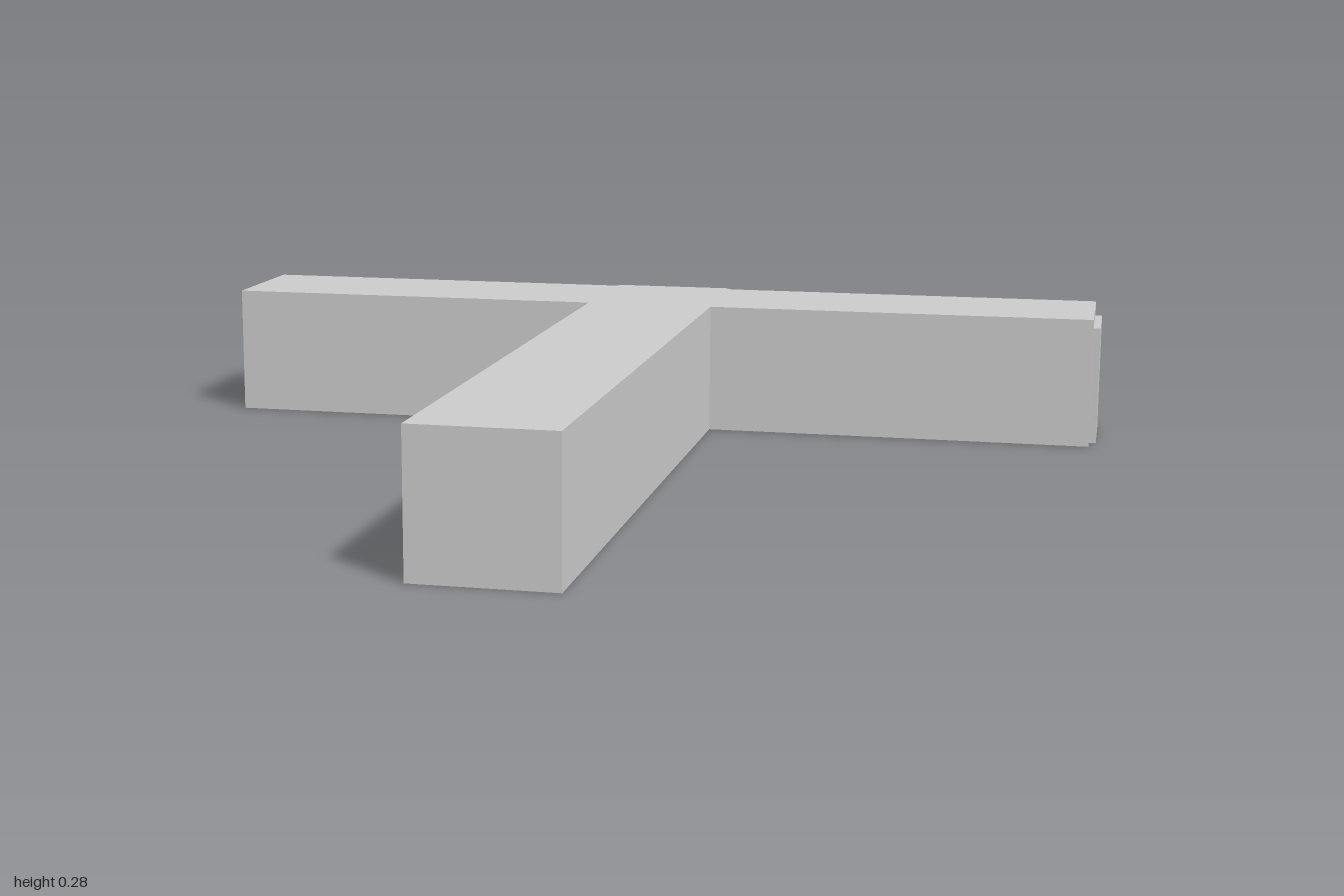
import * as THREE from 'three';

const material = new THREE.MeshStandardMaterial({ color: 0xcccccc, flatShading: true });
const HEIGHT = 0.28;

function addPart(group, name, geometry, x = 0, y = 0, z = 0) {
  const mesh = new THREE.Mesh(geometry, material);
  mesh.name = name;
  mesh.position.set(x, y, z);
  group.add(mesh);
}

// T-shaped corridor: floor plan given as (x, z), raised to the wall height
function corridorGeometry() {
  const plan = [
    [-0.135, 0.845], [0.145, 0.845], [0.145, -0.557], [0.985, -0.557],
    [0.985, -0.835], [0.145, -0.835], [0.13, -0.85], [-0.12, -0.85],
    [-0.135, -0.835], [-0.97, -0.835], [-0.97, -0.557], [-0.135, -0.557],
  ];
  const shape = new THREE.Shape(plan.map(([x, z]) => new THREE.Vector2(x, -z)));
  const geometry = new THREE.ExtrudeGeometry(shape, { depth: HEIGHT, bevelEnabled: false });
  return geometry.rotateX(-Math.PI / 2);
}

// Arched niche pushing out towards -x, narrowing to its outer face
function nicheGeometry(depth) {
  const outline = [
    [-0.07, 0.02], [0.07, 0.02], [0.07, 0.18], [0.035, 0.25],
    [-0.035, 0.25], [-0.07, 0.18],
  ];
  const shape = new THREE.Shape(outline.map(([x, y]) => new THREE.Vector2(x, y)));
  const geometry = new THREE.ExtrudeGeometry(shape, { depth, bevelEnabled: false });
  const pos = geometry.attributes.position;
  const middle = 0.135;
  for (let i = 0; i < pos.count; i++) {
    if (pos.getZ(i) < depth / 2) continue;
    pos.setX(i, pos.getX(i) * 0.65);
    pos.setY(i, middle + (pos.getY(i) - middle) * 0.78);
  }
  geometry.computeVertexNormals();
  return geometry.rotateY(-Math.PI / 2);
}

export function createModel() {
  const group = new THREE.Group();
  group.name = 'corridorJunction';

  addPart(group, 'corridor', corridorGeometry());

  // Raised doorway on the left end
  addPart(group, 'endDoor', new THREE.BoxGeometry(0.015, 0.255, 0.185), 0.9925, 0.1275, -0.6925);

  // Niches: one on the right end, two along the side of the stem
  const niches = [
    ['endNiche', -0.97, -0.695],
    ['rearSideNiche', -0.135, -0.415],
    ['frontSideNiche', -0.135, 0.142],
  ];
  for (const [name, x, z] of niches) addPart(group, name, nicheGeometry(0.03), x, 0, z);

  return group;
}
